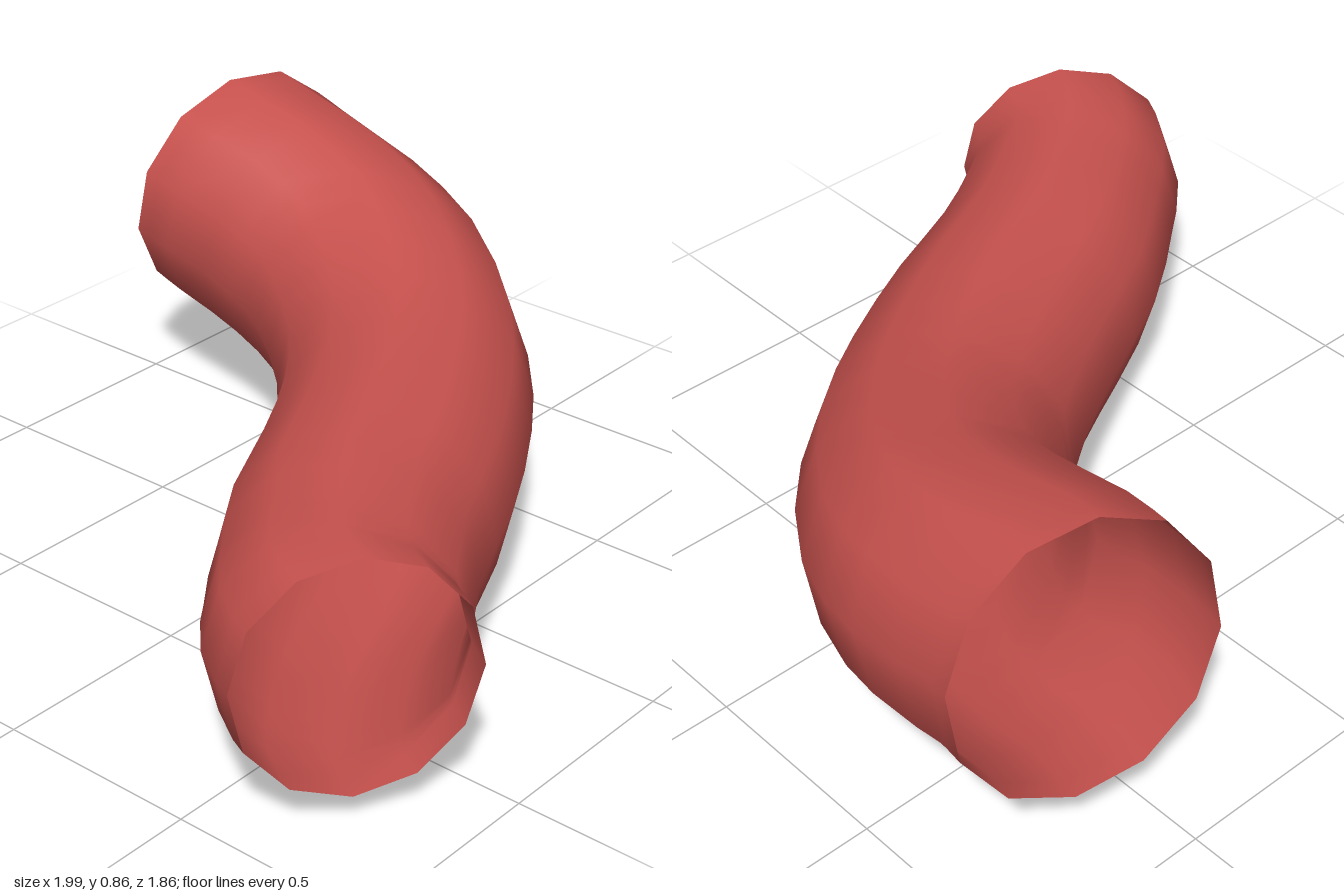
import * as THREE from 'three';

// Centreline stations from the front opening to the back one: x, y, z, radius
const STATIONS = [
  [-0.77, 0.345, 0.775, 0.274],
  [-0.69, 0.336, 0.65, 0.281],
  [-0.57, 0.325, 0.555, 0.287],
  [-0.36, 0.312, 0.415, 0.302],
  [-0.11, 0.308, 0.295, 0.31],
  [0.16, 0.318, 0.14, 0.312],
  [0.375, 0.345, -0.03, 0.315],
  [0.565, 0.405, -0.285, 0.322],
  [0.63, 0.46, -0.5, 0.326],
  [0.653, 0.517, -0.74, 0.328],
  [0.675, 0.535, -0.85, 0.328],
];
const SIDES = 12;
const RINGS_PER_STATION = 2;

// Loft a twelve-sided ring along the curve, leaving both ends open
function bentPipe() {
  const curve = new THREE.CatmullRomCurve3(STATIONS.map(([x, y, z]) => new THREE.Vector3(x, y, z)));
  const rings = (STATIONS.length - 1) * RINGS_PER_STATION;
  const positions = [];
  const index = [];
  for (let i = 0; i <= rings; i++) {
    const t = i / rings;
    const s = Math.min(Math.floor(i / RINGS_PER_STATION), STATIONS.length - 2);
    const radius = THREE.MathUtils.lerp(STATIONS[s][3], STATIONS[s + 1][3], i / RINGS_PER_STATION - s);
    const centre = curve.getPoint(t);
    const along = curve.getTangent(t);
    const side = new THREE.Vector3().crossVectors(along, new THREE.Vector3(0, 1, 0)).normalize();
    const up = new THREE.Vector3().crossVectors(side, along);
    const roll = THREE.MathUtils.degToRad(THREE.MathUtils.lerp(3, -10, t));
    for (let j = 0; j < SIDES; j++) {
      const a = roll + (j / SIDES) * Math.PI * 2;
      const p = centre.clone()
        .addScaledVector(up, Math.cos(a) * radius)
        .addScaledVector(side, Math.sin(a) * radius);
      positions.push(p.x, p.y, p.z);
      if (i < rings) {
        const k = (j + 1) % SIDES;
        const [p0, p1, q0, q1] = [i * SIDES + j, i * SIDES + k, (i + 1) * SIDES + j, (i + 1) * SIDES + k];
        index.push(p0, p1, q0, p1, q1, q0);
      }
    }
  }
  const geometry = new THREE.BufferGeometry();
  geometry.setAttribute('position', new THREE.Float32BufferAttribute(positions, 3));
  geometry.setIndex(index);
  // Centre the pipe and rest it on the ground
  geometry.computeBoundingBox();
  const { min, max } = geometry.boundingBox;
  geometry.translate(-(min.x + max.x) / 2, -min.y, -(min.z + max.z) / 2);
  geometry.computeVertexNormals();
  return geometry;
}

export function createModel() {
  const red = new THREE.MeshStandardMaterial({ color: 0xc8524e, side: THREE.DoubleSide });
  red.name = 'red';
  const pipe = new THREE.Mesh(bentPipe(), red);
  pipe.name = 'bentPipe';
  const model = new THREE.Group();
  model.name = 'pipe';
  model.add(pipe);
  return model;
}
